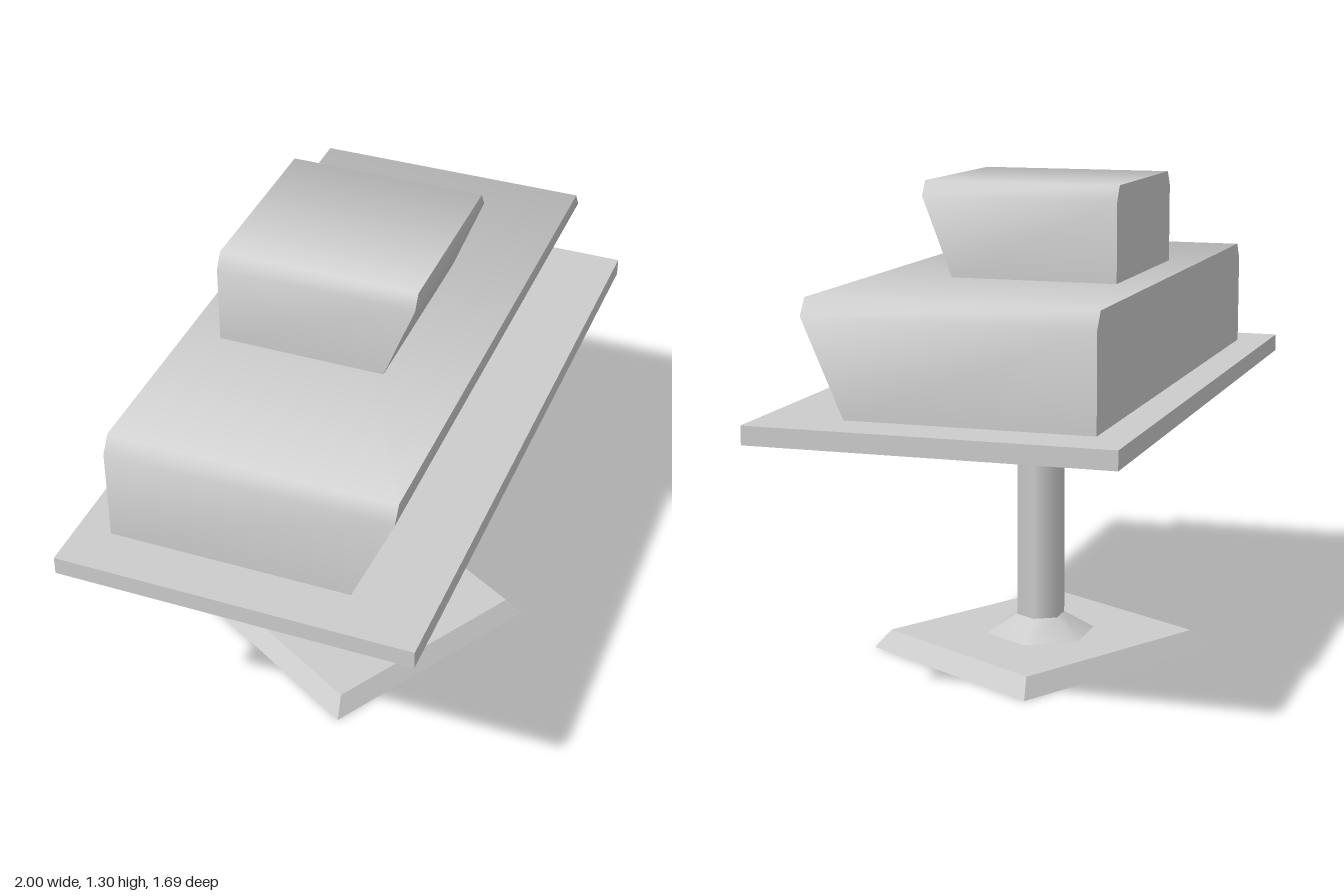
import * as THREE from 'three';
import { toCreasedNormals } from 'three/addons/utils/BufferGeometryUtils.js';

const material = new THREE.MeshStandardMaterial({ color: 0xcccccc });
const openMaterial = new THREE.MeshStandardMaterial({ color: 0xcccccc, side: THREE.DoubleSide });

// Stacks four-cornered rings [y, halfWidth, back z, front z] and caps the top.
function loft(rings, crease) {
  const pos = [], index = [];
  for (const [y, w, back, front] of rings) {
    pos.push(-w, y, front, w, y, front, w, y, back, -w, y, back);
  }
  for (let r = 0; r < rings.length - 1; r++) {
    for (let k = 0; k < 4; k++) {
      const a = r * 4 + k, b = r * 4 + (k + 1) % 4;
      index.push(a, b, b + 4, a, b + 4, a + 4);
    }
  }
  const t = (rings.length - 1) * 4;
  index.push(t, t + 1, t + 2, t, t + 2, t + 3);
  const geometry = new THREE.BufferGeometry();
  geometry.setAttribute('position', new THREE.Float32BufferAttribute(pos, 3));
  geometry.setIndex(index);
  return toCreasedNormals(geometry, crease);
}

function add(parent, name, geometry, mat = material, y = 0) {
  const mesh = new THREE.Mesh(geometry, mat);
  mesh.name = name;
  mesh.position.y = y;
  parent.add(mesh);
  return mesh;
}

// Six-sided tube standing between two heights
function hexTube(parent, name, y0, y1, r0, r1) {
  add(parent, name, new THREE.CylinderGeometry(r1, r0, y1 - y0, 6, 1, true), openMaterial, (y0 + y1) / 2);
}

export function createModel() {
  const model = new THREE.Group();
  model.name = 'pedestalDisplay';

  // Sloped foot, open underneath
  add(model, 'foot', loft([[0, 0.34, -0.31, 0.31], [0.05, 0.305, -0.28, 0.28]], 0.3), openMaterial);

  // Hexagonal post with a flare at each end
  hexTube(model, 'lowerFlare', 0.05, 0.1, 0.15, 0.066);
  hexTube(model, 'post', 0.1, 0.67, 0.066, 0.066);
  hexTube(model, 'upperFlare', 0.67, 0.72, 0.066, 0.15);

  // Upper assembly, turned on the post
  const top = new THREE.Group();
  top.name = 'turnedTop';
  top.rotation.y = Math.PI / 6;
  model.add(top);

  add(top, 'slab', new THREE.BoxGeometry(1.77, 0.048, 0.93), material, 0.744);

  // Blocks with a front that leans outward and bevelled upper ends
  add(top, 'lowerBlock', loft([
    [0.768, 0.753, -0.376, 0.257],
    [1.015, 0.753, -0.376, 0.365],
    [1.058, 0.724, -0.376, 0.365],
  ], 1.15));
  add(top, 'upperBlock', loft([
    [1.058, 0.266, -0.285, 0.156],
    [1.265, 0.266, -0.285, 0.236],
    [1.304, 0.243, -0.285, 0.236],
  ], 1.15));

  return model;
}
